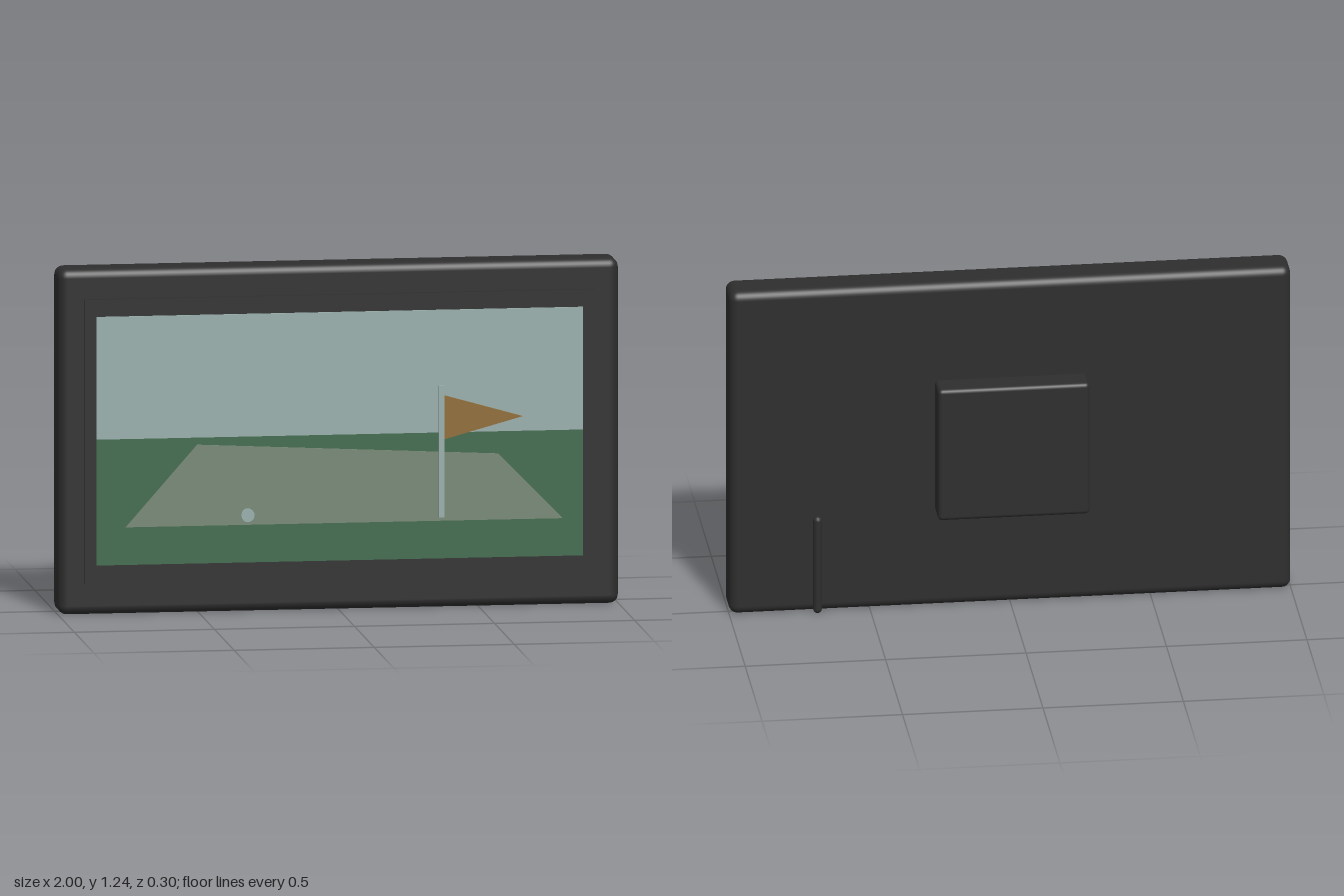
import * as THREE from 'three';
import { RoundedBoxGeometry } from 'three/addons/geometries/RoundedBoxGeometry.js';

const mat = (name, color) => {
  const m = new THREE.MeshStandardMaterial({ color });
  m.name = name;
  return m;
};

export function createModel() {
  const group = new THREE.Group();
  const black = mat('black casing', 0x2e2e2e);
  const pale = mat('pale sky', 0x9ab0ac);
  const grass = mat('grass green', 0x416b4e);
  const mat1 = mat('grey green', 0x778976);
  const ochre = mat('flag ochre', 0x916d38);

  const add = (name, geometry, material, x, y, z) => {
    const mesh = new THREE.Mesh(geometry, material);
    mesh.name = name;
    mesh.position.set(x, y, z);
    group.add(mesh);
    return mesh;
  };
  // Thin plate cut from an outline, its back at z
  const plate = (name, points, depth, material, z) => {
    const shape = new THREE.Shape(points.map(([x, y]) => new THREE.Vector2(x, y)));
    add(name, new THREE.ExtrudeGeometry(shape, { depth, bevelEnabled: false }), material, 0, 0, z);
  };

  // Casing, raised bezel and the rear box
  add('casing', new RoundedBoxGeometry(2, 1.235, 0.145, 4, 0.032), black, 0, 0.6175, 0.0325);
  add('bezel', new THREE.BoxGeometry(1.816, 1.016, 0.02), black, 0, 0.621, 0.113);
  add('rearBox', new RoundedBoxGeometry(0.54, 0.502, 0.108, 3, 0.015), black, 0, 0.621, -0.094);

  // Cable running down the back
  add('cable', new THREE.CapsuleGeometry(0.016, 0.338, 4, 12), black, 0.688, 0.185, -0.05);

  // Screen picture: sky, grass and fairway
  add('sky', new THREE.BoxGeometry(1.736, 0.438, 0.008), pale, 0, 0.849, 0.126);
  add('grass', new THREE.BoxGeometry(1.736, 0.45, 0.008), grass, 0, 0.405, 0.126);
  plate('fairway', [[-0.765, 0.315], [0.795, 0.315], [0.565, 0.551], [-0.51, 0.605]], 0.004, mat1, 0.13);

  // Ball, pole and pennant
  const ball = add('ball', new THREE.CylinderGeometry(0.024, 0.024, 0.009, 24), pale, -0.33, 0.35, 0.138);
  ball.rotation.x = Math.PI / 2;
  add('flagPole', new THREE.BoxGeometry(0.02, 0.472, 0.015), pale, 0.361, 0.565, 0.1425);
  plate('flag', [[0.37, 0.608], [0.65, 0.685], [0.37, 0.765]], 0.008, ochre, 0.141);

  return group;
}
